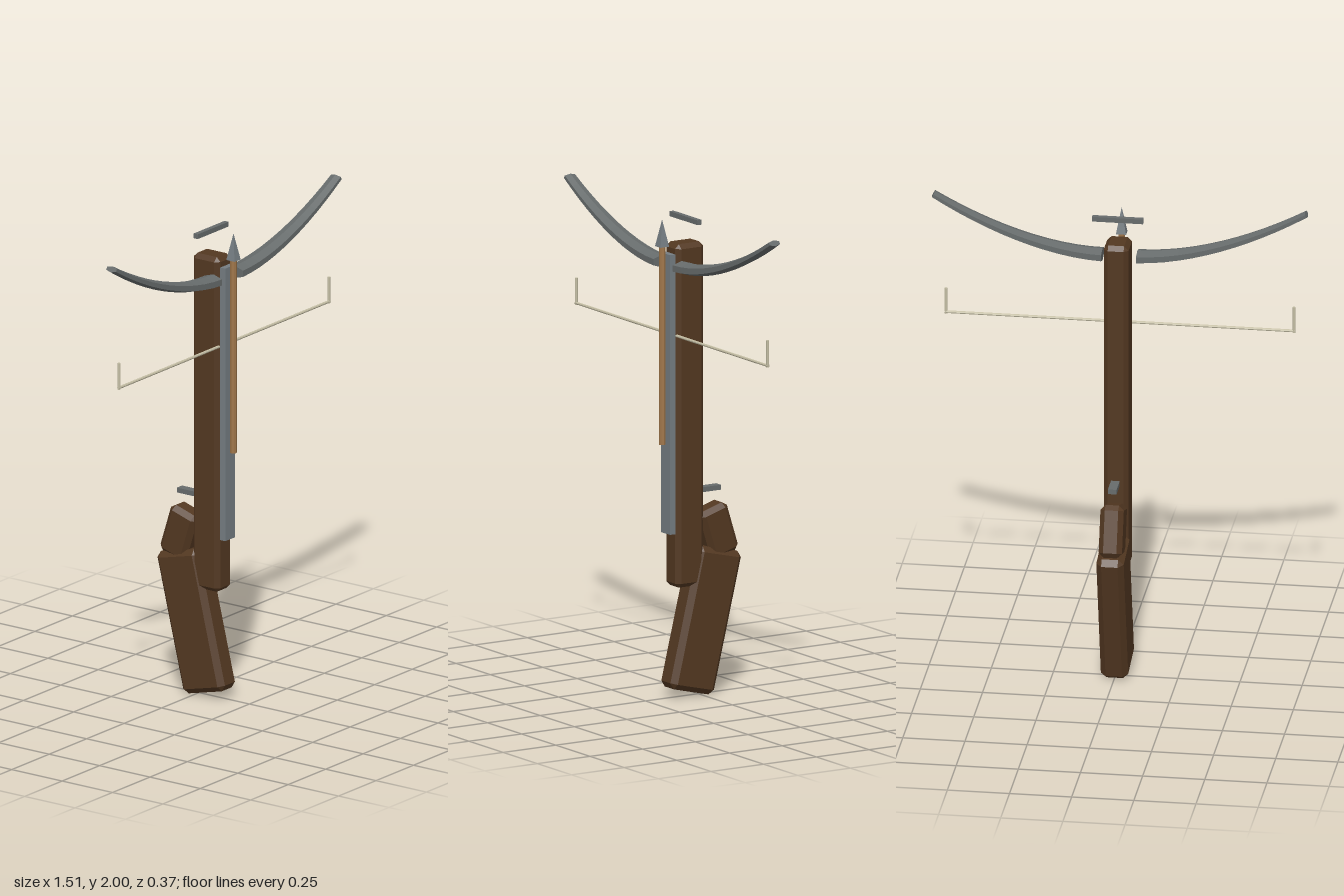
import * as THREE from 'three';
import { ConvexGeometry } from 'three/addons/geometries/ConvexGeometry.js';

function material(name, color) {
  const m = new THREE.MeshStandardMaterial({ color, flatShading: true });
  m.name = name;
  return m;
}

// Box with every edge cut by a flat chamfer
function chamferBox(w, h, d, c) {
  const points = [];
  for (const sx of [-1, 1]) for (const sy of [-1, 1]) for (const sz of [-1, 1]) {
    for (let axis = 0; axis < 3; axis++) {
      const cut = [c, c, c];
      cut[axis] = 0;
      points.push(new THREE.Vector3(
        sx * (w / 2 - cut[0]), sy * (h / 2 - cut[1]), sz * (d / 2 - cut[2])));
    }
  }
  return new ConvexGeometry(points);
}

// Tapering six-sided bow limb swept along an upward curve; side is +1 or -1
function limbGeometry(side) {
  const rings = 12, sides = 6, pos = [], index = [];
  const height = t => 1.764 + 0.222 * Math.pow(t, 1.8);
  for (let i = 0; i <= rings; i++) {
    const t = i / rings;
    const slope = Math.atan2(0.222 * 1.8 * Math.pow(t, 0.8), 0.68);
    const thick = THREE.MathUtils.lerp(0.026, 0.013, t);
    const wide = THREE.MathUtils.lerp(0.049, 0.028, t);
    for (let j = 0; j < sides; j++) {
      const a = j / sides * Math.PI * 2;
      const n = Math.cos(a) * thick;
      pos.push(side * (0.07 + 0.68 * t - Math.sin(slope) * n),
        height(t) + Math.cos(slope) * n, 0.124 + Math.sin(a) * wide);
    }
  }
  const tri = (a, b, c) => (side > 0 ? index.push(a, b, c) : index.push(a, c, b));
  for (let i = 0; i < rings; i++) {
    for (let j = 0; j < sides; j++) {
      const a = i * sides + j, b = i * sides + (j + 1) % sides;
      tri(a, b, a + sides);
      tri(b, b + sides, a + sides);
    }
  }
  const last = rings * sides;
  for (let j = 1; j < sides - 1; j++) {
    tri(0, j + 1, j);
    tri(last, last + j, last + j + 1);
  }
  const g = new THREE.BufferGeometry();
  g.setAttribute('position', new THREE.Float32BufferAttribute(pos, 3));
  g.setIndex(index);
  g.computeVertexNormals();
  return g;
}

export function createModel() {
  const wood = material('dark wood', 0x533821);
  const steel = material('limb steel', 0x676c6c);
  const railMetal = material('rail metal', 0x757d82);
  const cord = material('bowstring cord', 0xc4bea4);
  const boltWood = material('bolt wood', 0xa0764a);

  const model = new THREE.Group();
  model.name = 'crossbow';
  const add = (name, geometry, mat, x, y, z, tilt = 0) => {
    const mesh = new THREE.Mesh(geometry, mat);
    mesh.name = name;
    mesh.position.set(x, y, z);
    mesh.rotation.x = tilt;
    model.add(mesh);
    return mesh;
  };

  // Wooden stock, angled grip and the wrist joining them
  add('stock', chamferBox(0.1, 1.4, 0.132, 0.018), wood, 0, 1.15, 0.064);
  add('grip', chamferBox(0.11, 0.585, 0.213, 0.022), wood, 0, 0.303, -0.014, -0.238);
  add('wrist', chamferBox(0.094, 0.212, 0.135, 0.02), wood, 0, 0.658, -0.08, 0.305);

  // Rail, trigger and front bar
  add('rail', new THREE.BoxGeometry(0.066, 1.14, 0.028), railMetal, 0, 1.24, 0.141);
  add('trigger', new THREE.BoxGeometry(0.035, 0.02, 0.09), steel, 0, 0.832, -0.052);
  add('frontBar', new THREE.BoxGeometry(0.205, 0.02, 0.02), steel, 0, 1.945, 0.06);

  // Bolt lying on the rail
  add('boltShaft', new THREE.CylinderGeometry(0.0135, 0.0135, 0.82, 8), boltWood, 0, 1.445, 0.171);
  const head = add('boltHead', new THREE.ConeGeometry(0.029, 0.11, 4), railMetal, 0, 1.897, 0.171);
  head.rotation.y = Math.PI / 4;

  // Bowstring with its upturned ends
  const string = add('bowstring', new THREE.CylinderGeometry(0.006, 0.006, 1.41, 8), cord, 0, 1.478, 0.124);
  string.rotation.z = Math.PI / 2;
  for (const side of [1, -1]) {
    const label = side > 0 ? 'left' : 'right';
    add(label + 'StringEnd', new THREE.CylinderGeometry(0.006, 0.006, 0.11, 8), cord, side * 0.7, 1.526, 0.124);
    add(label + 'Limb', limbGeometry(side), steel, 0, 0, 0);
  }
  return model;
}
